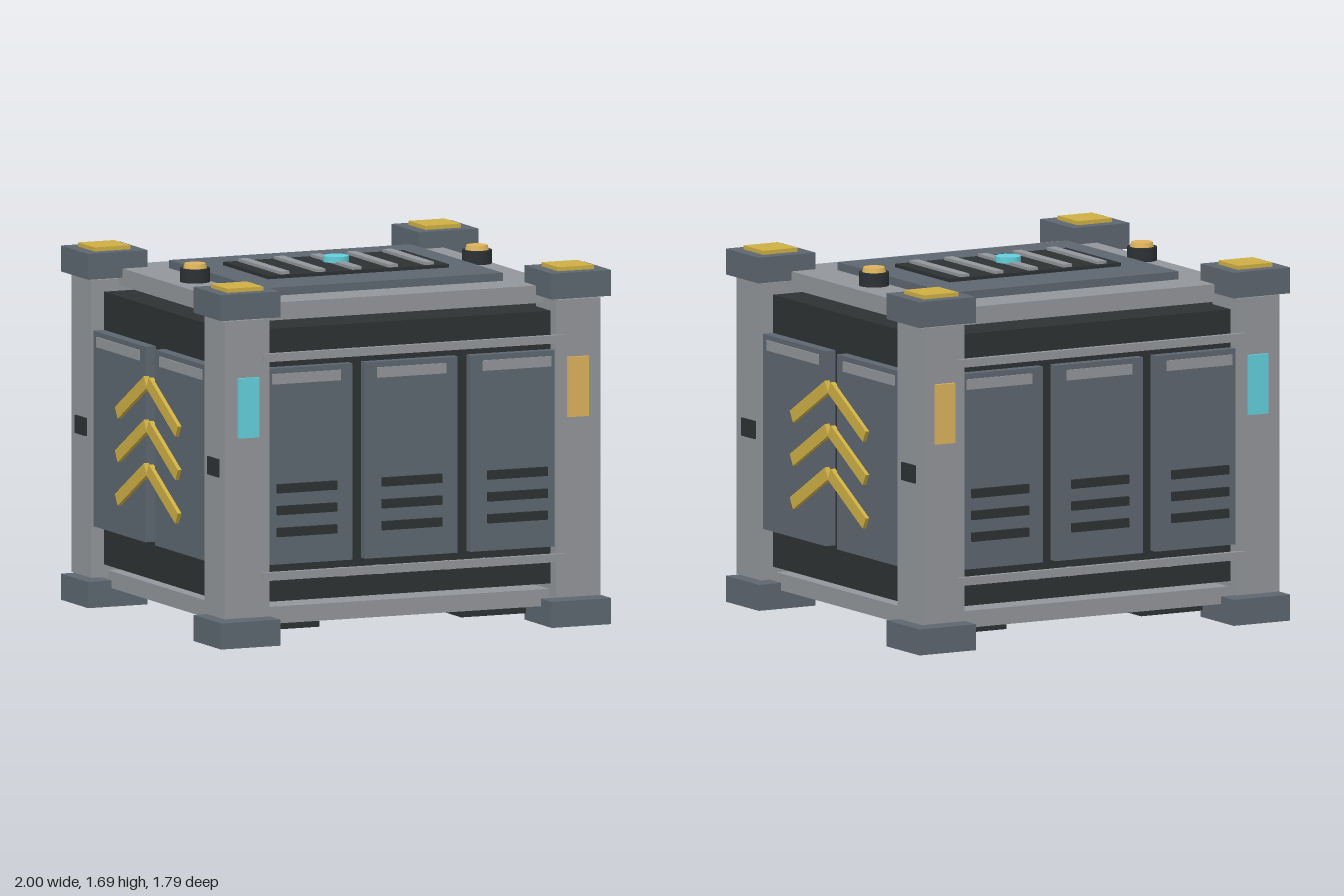
import * as THREE from 'three';

const mat = (color) => new THREE.MeshStandardMaterial({ color });

export function createModel() {
  const root = new THREE.Group();
  const dark = mat(0x2d3133), slate = mat(0x5d6670), grey = mat(0x929599);
  const gold = mat(0xcdae44), amber = mat(0xdcb25c), cyan = mat(0x62cfdc);

  // Box given by its lower and upper limits on each axis
  function box(parent, name, material, [x0, x1], [y0, y1], [z0, z1]) {
    const mesh = new THREE.Mesh(new THREE.BoxGeometry(x1 - x0, y1 - y0, z1 - z0), material);
    mesh.position.set((x0 + x1) / 2, (y0 + y1) / 2, (z0 + z1) / 2);
    mesh.name = name;
    parent.add(mesh);
    return mesh;
  }
  const around = (c, size) => [c - size / 2, c + size / 2];
  // Interval from a to b on either side of zero
  const side = (s, a, b) => (s > 0 ? [a, b] : [-b, -a]);

  function disc(name, material, rTop, rBottom, y0, y1, x) {
    const mesh = new THREE.Mesh(new THREE.CylinderGeometry(rTop, rBottom, y1 - y0, 20), material);
    mesh.position.set(x, (y0 + y1) / 2, 0);
    mesh.name = name;
    root.add(mesh);
  }

  // Core, base and lid
  box(root, 'core', dark, [-0.9, 0.9], [0.195, 1.48], [-0.8, 0.8]);
  box(root, 'base', grey, [-0.88, 0.88], [0.087, 0.167], [-0.78, 0.78]);
  box(root, 'lid', grey, [-0.824, 0.824], [1.507, 1.59], [-0.72, 0.72]);
  box(root, 'lidDeck', slate, [-0.62, 0.62], [1.59, 1.628], [-0.515, 0.515]);
  box(root, 'vent', dark, [-0.463, 0.463], [1.628, 1.644], [-0.253, 0.253]);
  for (let i = -2; i <= 2; i++) {
    box(root, 'ventSlat', grey, around(i * 0.185, 0.048), [1.644, 1.658], [-0.236, 0.236]);
  }
  disc('centreLight', cyan, 0.06, 0.06, 1.652, 1.68, 0);

  for (const sx of [-1, 1]) {
    // Lamps on the lid
    disc('lampBase', dark, 0.07, 0.07, 1.6, 1.665, sx * 0.723);
    disc('lampLens', amber, 0.05, 0.056, 1.665, 1.687, sx * 0.723);

    for (const sz of [-1, 1]) {
      // Corner posts with feet and caps
      const corner = new THREE.Group();
      corner.name = 'cornerPost';
      root.add(corner);
      const cx = sx * 0.848, cz = sz * 0.744;
      box(corner, 'foot', slate, around(cx, 0.305), [0, 0.123], around(cz, 0.307));
      box(corner, 'post', grey, side(sx, 0.735, 0.965), [0.135, 1.537], side(sz, 0.633, 0.858));
      box(corner, 'cap', slate, around(cx, 0.305), [1.547, 1.669], around(cz, 0.307));
      box(corner, 'capPlate', gold, around(cx, 0.185), [1.669, 1.688], around(cz, 0.185));
      box(corner, 'postLight', sx < 0 ? cyan : amber,
        side(sx, 0.793, 0.897), [0.984, 1.267], side(sz, 0.85, 0.873));
      box(corner, 'latch', dark, side(sx, 0.95, 0.974), [0.797, 0.882], side(sz, 0.68, 0.802));

      // Pads under the base
      box(root, 'basePad', dark, side(sx, 0.363, 0.71), [0.032, 0.087], side(sz, 0.312, 0.61));

      // Side panels
      box(root, 'sidePanel', slate, side(sx, 0.9, 0.954), [0.378, 1.3], side(sz, 0.053, 0.652));
      box(root, 'sidePanelStrip', grey, side(sx, 0.95, 0.961), [1.228, 1.276], side(sz, 0.115, 0.59));

      // Chevron arms
      for (let i = 0; i < 3; i++) {
        const arm = box(root, 'chevronArm', gold, side(sx, 0.948, 0.973),
          around(1.046 - i * 0.205, 0.06), around(sz * 0.175, 0.376));
        arm.rotation.x = sz * Math.PI / 6;
      }
    }
  }

  for (const sz of [-1, 1]) {
    // Front and back doors with label strips and louvres
    for (let i = -1; i <= 1; i++) {
      const x = i * 0.54;
      box(root, 'door', slate, around(x, 0.475), [0.375, 1.3], side(sz, 0.8, 0.845));
      box(root, 'doorStrip', grey, around(x, 0.353), [1.225, 1.274], side(sz, 0.84, 0.852));
      for (const y of [0.733, 0.63, 0.527]) {
        box(root, 'louvre', dark, around(x, 0.305), around(y, 0.042), side(sz, 0.84, 0.862));
      }
    }
    // Rails across the doors
    for (const y of [1.355, 0.324]) {
      box(root, 'rail', grey, [-0.773, 0.773], around(y, 0.038), side(sz, 0.848, 0.875));
    }
    for (const x of [-0.363, -0.171, 0.171, 0.363]) {
      box(root, 'railClip', grey, around(x, 0.028), around(0.324, 0.04), side(sz, 0.846, 0.878));
    }
  }
  return root;
}
